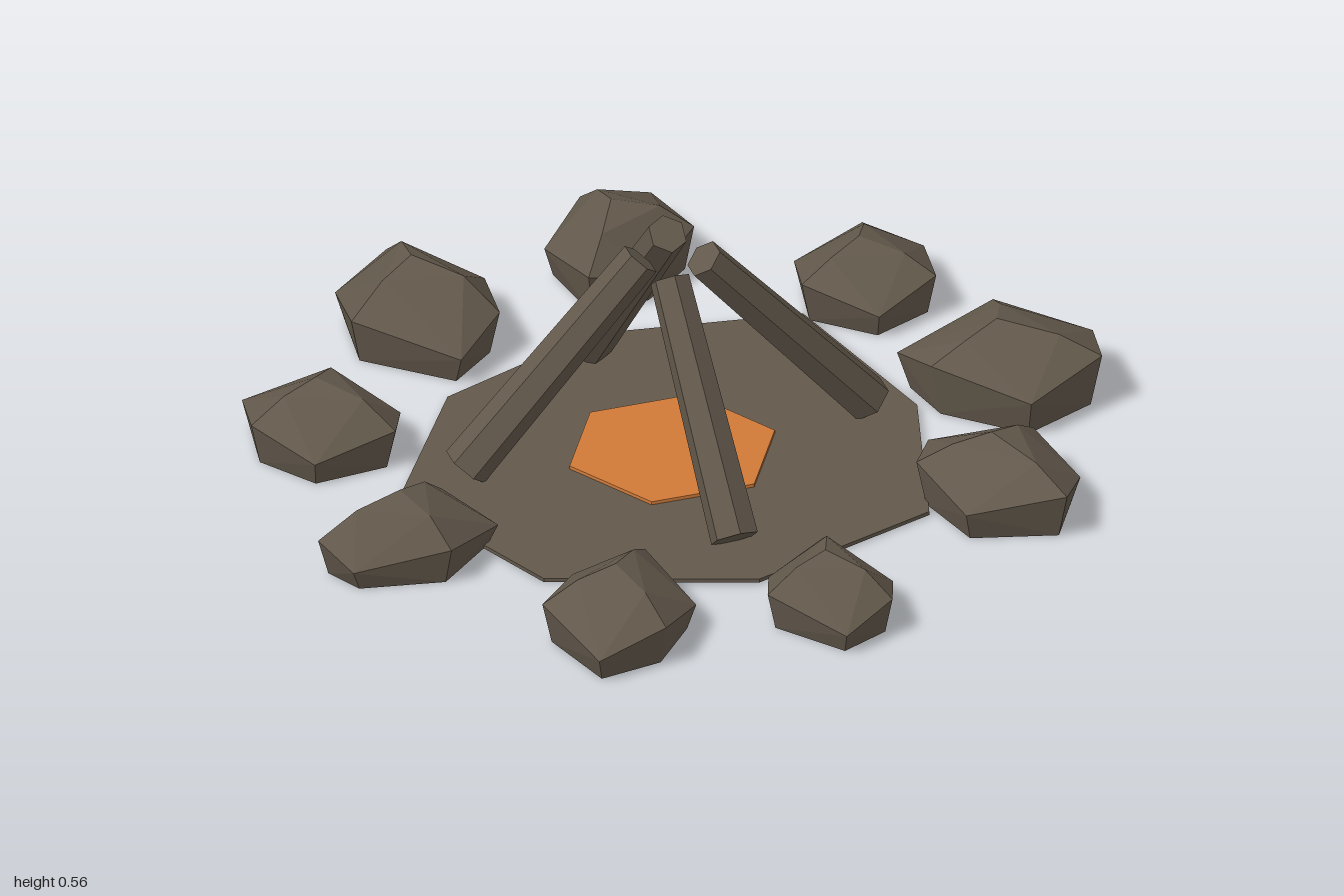
import * as THREE from 'three';
import { ConvexGeometry } from 'three/addons/geometries/ConvexGeometry.js';

const earth = new THREE.MeshStandardMaterial({ color: 0x62584b, flatShading: true });
earth.name = 'earth brown';
const glow = new THREE.MeshStandardMaterial({ color: 0xd07a38, flatShading: true });
glow.name = 'ember orange';

// Flat plate from [x, z] corners, lying between y and y + thick
function plate(name, corners, y, thick, material) {
  const shape = new THREE.Shape(corners.map(([x, z]) => new THREE.Vector2(x, -z)));
  const geo = new THREE.ExtrudeGeometry(shape, { depth: thick, bevelEnabled: false });
  geo.rotateX(-Math.PI / 2);
  geo.translate(0, y, 0);
  const mesh = new THREE.Mesh(geo, material);
  mesh.name = name;
  return mesh;
}

// Tapered six-sided log between two points
function log(name, bottom, top) {
  const a = new THREE.Vector3(...bottom);
  const b = new THREE.Vector3(...top);
  const dir = b.clone().sub(a);
  const mesh = new THREE.Mesh(new THREE.CylinderGeometry(0.046, 0.056, dir.length(), 6), earth);
  mesh.position.copy(a).add(b).multiplyScalar(0.5);
  mesh.quaternion.setFromUnitVectors(new THREE.Vector3(0, 1, 0), dir.normalize());
  mesh.name = name;
  return mesh;
}

// Faceted stone: flat base, wide jagged waist, narrower shoulder and a peak
function stone(name, height, waist, outline) {
  const cx = outline.reduce((s, p) => s + p[0], 0) / outline.length;
  const cz = outline.reduce((s, p) => s + p[1], 0) / outline.length;
  const at = ([x, z], k, y) => new THREE.Vector3(cx + (x - cx) * k, y, cz + (z - cz) * k);
  const points = [at(outline[0], 0.1, height)];
  outline.forEach((p, i) => {
    points.push(at(p, 0.88, 0));
    points.push(at(p, 1, waist + (i % 2 ? 0.02 : -0.02)));
    if (i % 2) points.push(at(p, 0.55, height * 0.88));
  });
  const mesh = new THREE.Mesh(new ConvexGeometry(points), earth);
  mesh.name = name;
  return mesh;
}

export function createModel() {
  const model = new THREE.Group();
  model.name = 'campfire';

  // Ground patch and ember bed
  model.add(plate('groundPatch', [
    [-0.05, -0.54], [0.43, -0.47], [0.54, 0], [0.41, 0.46],
    [-0.05, 0.62], [-0.51, 0.46], [-0.70, 0.01], [-0.45, -0.38],
  ], 0.003, 0.009, earth));
  const hexagon = [];
  for (let i = 0; i < 6; i++) {
    const t = (i * Math.PI) / 3;
    hexagon.push([-0.05 + 0.245 * Math.cos(t), 0.015 + 0.245 * Math.sin(t)]);
  }
  model.add(plate('emberBed', hexagon, 0.012, 0.008, glow));

  // Leaning logs
  model.add(log('leftLog', [0.43, 0.04, -0.015], [0.02, 0.51, 0.03]));
  model.add(log('rightLog', [-0.53, 0.04, -0.025], [-0.115, 0.51, -0.015]));
  model.add(log('backLog', [-0.085, 0.04, -0.46], [-0.035, 0.535, -0.06]));
  model.add(log('frontLog', [-0.06, 0.04, 0.475], [-0.08, 0.505, 0.085]));

  // Ring of stones: height, waist height, outline as [x, z]
  const stones = [
    [0.21, 0.09, [[-0.57, -0.81], [-0.42, -0.89], [-0.23, -0.76], [-0.27, -0.54], [-0.40, -0.43], [-0.60, -0.61]]],
    [0.19, 0.09, [[-0.06, -0.84], [0.07, -0.97], [0.25, -1.00], [0.27, -0.76], [0.13, -0.64], [-0.03, -0.62]]],
    [0.16, 0.08, [[0.46, -0.62], [0.64, -0.67], [0.76, -0.59], [0.72, -0.39], [0.56, -0.32], [0.42, -0.45]]],
    [0.195, 0.11, [[0.53, -0.11], [0.79, -0.20], [0.98, -0.06], [0.94, 0.12], [0.74, 0.21], [0.56, 0.04]]],
    [0.18, 0.09, [[0.48, 0.25], [0.70, 0.34], [0.75, 0.52], [0.67, 0.66], [0.45, 0.60], [0.40, 0.40]]],
    [0.165, 0.07, [[-0.05, 0.68], [0.10, 0.62], [0.21, 0.79], [0.16, 0.93], [0.03, 0.99], [-0.10, 0.82]]],
    [0.175, 0.08, [[-0.47, 0.54], [-0.30, 0.55], [-0.25, 0.76], [-0.37, 0.90], [-0.54, 0.93], [-0.60, 0.71]]],
    [0.17, 0.07, [[-0.82, 0.09], [-0.64, 0.13], [-0.55, 0.26], [-0.71, 0.40], [-0.93, 0.36], [-0.98, 0.26]]],
    [0.18, 0.08, [[-0.92, -0.44], [-0.70, -0.42], [-0.60, -0.27], [-0.66, -0.13], [-0.86, -0.11], [-0.96, -0.26]]],
  ];
  stones.forEach(([height, waist, outline], i) => {
    model.add(stone(`stone${i + 1}`, height, waist, outline));
  });
  return model;
}
